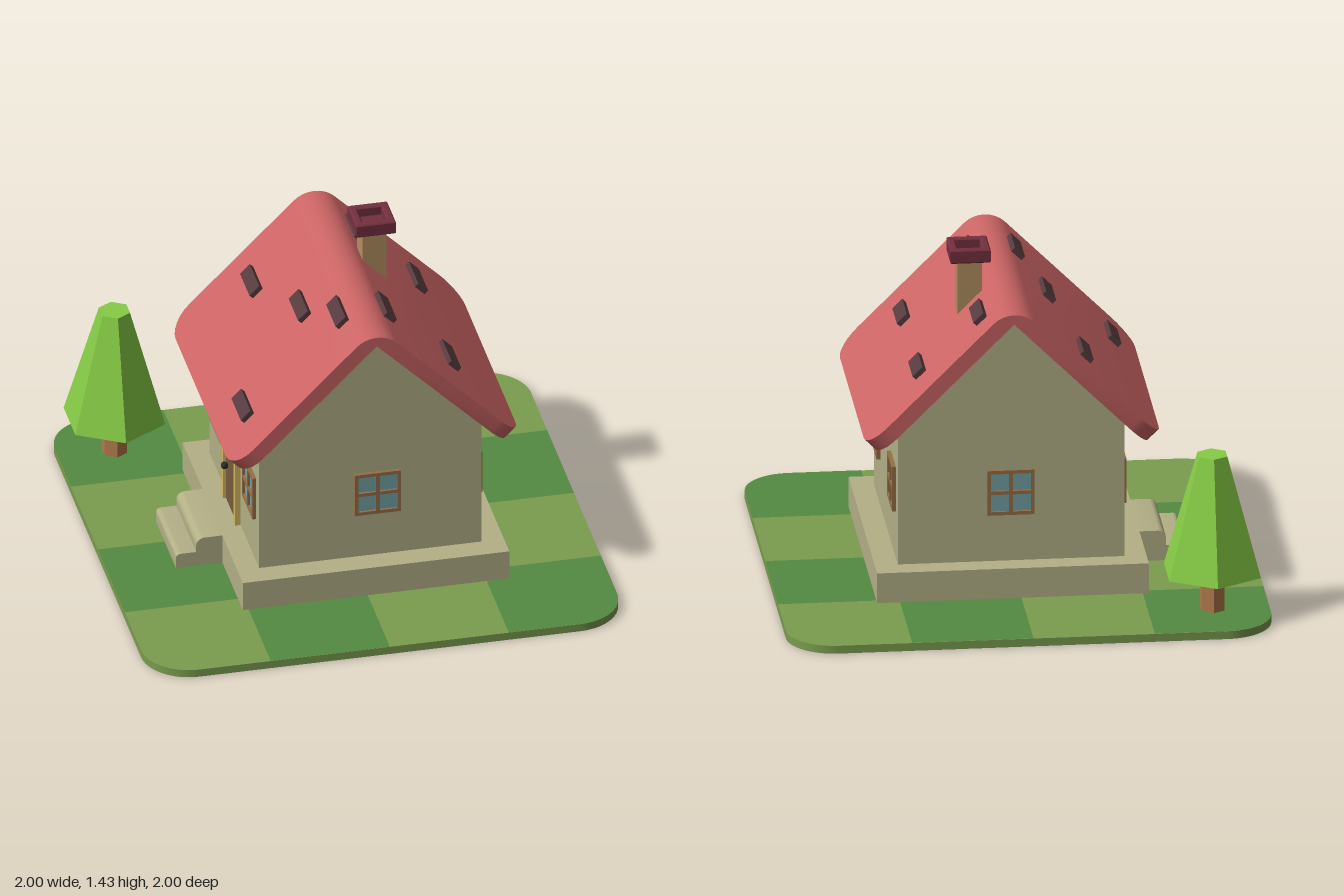
import * as THREE from 'three';
import { toCreasedNormals } from 'three/addons/utils/BufferGeometryUtils.js';

const C = {
  grass: 0x7a9c4e, darkGrass: 0x548a42, wall: 0xb3b087, roof: 0xcb6464, tile: 0x563a3e,
  chimney: 0xb38f62, cap: 0x74303f, frame: 0x967047, glass: 0x74a3a6, doorFrame: 0xd6ba62,
  door: 0x765c3c, knob: 0x2b2b2b, leaf: 0x86cc45, trunk: 0xb17c4c,
};
const CX = 0.033, CZ = 0.027; // house centre
const GROUND = 0.035, FLOOR = 0.165;

function add(parent, name, geometry, color, x = 0, y = 0, z = 0) {
  const mesh = new THREE.Mesh(geometry, new THREE.MeshStandardMaterial({ color }));
  mesh.name = name;
  mesh.position.set(x, y, z);
  parent.add(mesh);
  return mesh;
}
const box = (w, h, d) => new THREE.BoxGeometry(w, h, d);
const creased = (g) => toCreasedNormals(g, 0.6);
const extrude = (shape, depth) =>
  creased(new THREE.ExtrudeGeometry(shape, { depth, bevelEnabled: false, curveSegments: 8 }));

// Rectangle with a radius per corner: bottom right, top right, top left, bottom left
function rect(x0, y0, x1, y1, radii = [0, 0, 0, 0], Type = THREE.Shape) {
  const s = new Type();
  const corners = [[x1, y0, -1, 1], [x1, y1, -1, -1], [x0, y1, 1, -1], [x0, y0, 1, 1]];
  corners.forEach(([x, y, sx, sy], i) => {
    const r = radii[i], a = (i - 1) * Math.PI / 2;
    if (r) s.absarc(x + sx * r, y + sy * r, r, a, a + Math.PI / 2, false);
    else if (i === 0) s.moveTo(x, y);
    else s.lineTo(x, y);
  });
  s.closePath();
  return s;
}

// Rounded lawn with a checkerboard of darker squares
function buildGround(parent) {
  const r = 0.2;
  add(parent, 'lawn', extrude(rect(-1, -1, 1, 1, [r, r, r, r]), GROUND - 0.001).rotateX(-Math.PI / 2), C.grass);
  for (let i = 0; i < 4; i++) for (let j = 0; j < 4; j++) {
    if ((i + j) % 2) continue;
    const x = -1 + i * 0.5, y = 0.5 - j * 0.5;
    const radii = [i === 3 && j === 3 ? r : 0, 0, i === 0 && j === 0 ? r : 0, 0];
    const g = new THREE.ShapeGeometry(rect(x, y, x + 0.5, y + 0.5, radii), 8).rotateX(-Math.PI / 2);
    add(parent, 'darkLawnSquare', g, C.darkGrass, 0, GROUND, 0);
  }
}

// Foundation, gabled walls and entrance steps
function buildWalls(parent) {
  add(parent, 'foundation', box(1.12, FLOOR - GROUND, 1.12), C.wall, 0.035, (FLOOR + GROUND) / 2, 0.03);
  const hw = 0.467, apex = 1.25;
  const gable = new THREE.Shape([[-hw, FLOOR], [hw, FLOOR], [hw, apex - hw], [0, apex], [-hw, apex - hw]]
    .map(([x, y]) => new THREE.Vector2(x, y)));
  add(parent, 'walls', extrude(gable, 0.925), C.wall, CX, 0, -0.435);

  const s = new THREE.Shape();
  s.moveTo(-0.52, GROUND);
  s.lineTo(-0.52, FLOOR);
  s.absarc(-0.6, FLOOR - 0.035, 0.035, Math.PI / 2, Math.PI, false);
  s.lineTo(-0.635, 0.1);
  s.absarc(-0.7, 0.08, 0.02, Math.PI / 2, Math.PI, false);
  s.lineTo(-0.72, GROUND);
  add(parent, 'steps', extrude(s, 0.37), C.wall, 0, 0, -0.16);
}

// Roof lofted over the ridge, with a rounded ridge and rounded eave corners
const ROOF_TOP = 1.335, K = Math.SQRT1_2;
function roofGeometry() {
  const thick = 0.064, ridge = 0.12, corner = 0.12, half = 0.585, reach = 0.608;
  const side = [];
  for (let i = 0; i <= 4; i++) {
    const a = i / 4 * Math.PI / 4;
    const ix = (ridge - thick) * Math.sin(a);
    side.push([ridge * Math.sin(a), ROOF_TOP - ridge / K + ridge * Math.cos(a), ix, ROOF_TOP - thick / K - ix, half]);
  }
  for (let i = 0; i <= 6; i++) {
    const a = i / 6 * Math.PI / 2;
    const x = reach - corner * (1 - Math.sin(a)) * K, y = ROOF_TOP - x;
    side.push([x, y, x - thick * K, y - thick * K, half - corner * (1 - Math.cos(a))]);
  }
  const left = side.slice(1).reverse().map(([ox, oy, ix, iy, w]) => [-ox, oy, -ix, iy, w]);
  const rings = [...left, ...side].map(([ox, oy, ix, iy, w]) =>
    [[ox, oy, w], [ox, oy, -w], [ix, iy, -w], [ix, iy, w]]);
  const pos = [];
  const quad = (a, b, c, d) => [a, b, c, a, c, d].forEach((p) => pos.push(...p));
  for (let i = 0; i + 1 < rings.length; i++) for (let k = 0; k < 4; k++) {
    const n = (k + 1) % 4;
    quad(rings[i][k], rings[i + 1][k], rings[i + 1][n], rings[i][n]);
  }
  quad(...rings[0]);
  quad(...rings[rings.length - 1].slice().reverse());
  const g = new THREE.BufferGeometry();
  g.setAttribute('position', new THREE.Float32BufferAttribute(pos, 3));
  return creased(g);
}

function buildRoof(parent) {
  add(parent, 'roof', roofGeometry(), C.roof, CX, 0, CZ);
  // Raised loose tiles: x, z
  const tiles = [[-0.277, -0.325], [-0.165, 0.083], [-0.46, 0.325], [-0.062, 0.325],
    [0.155, -0.34], [0.13, 0.325], [0.4, -0.29], [0.4, 0.325]];
  for (const [x, z] of tiles) {
    const dx = x - CX, y = ROOF_TOP - Math.abs(dx);
    const tile = add(parent, 'roofTile', box(0.058, 0.036, 0.175), C.tile, x, y + 0.004, z);
    tile.rotation.z = -Math.sign(dx) * Math.PI / 4;
  }
  // Chimney with hollow cap
  add(parent, 'chimney', box(0.1, 0.3, 0.1), C.chimney, 0.173, 1.24, -0.1);
  const rim = rect(-0.077, -0.077, 0.077, 0.077);
  rim.holes.push(rect(-0.057, -0.057, 0.057, 0.057, undefined, THREE.Path));
  const cap = new THREE.ExtrudeGeometry(rim, {
    depth: 0.048, bevelThickness: 0.006, bevelSize: 0.006, bevelSegments: 1,
  }).rotateX(-Math.PI / 2);
  add(parent, 'chimneyCap', creased(cap), C.cap, 0.173, 1.381, -0.1);
  add(parent, 'chimneyCapFloor', box(0.13, 0.015, 0.13), C.cap, 0.173, 1.385, -0.1);
}

// Four-pane window facing +z, turned onto its wall
function buildWindow(parent, x, z, turn) {
  const group = new THREE.Group();
  group.name = 'window';
  const h = 0.0975, bar = 0.015, m = bar / 2;
  const frame = rect(-h, -h, h, h);
  for (const [a, b] of [[-h + bar, -m], [m, h - bar]])
    for (const [c, d] of [[-h + bar, -m], [m, h - bar]])
      frame.holes.push(rect(a, c, b, d, undefined, THREE.Path));
  add(group, 'windowFrame', extrude(frame, 0.016), C.frame);
  add(group, 'windowGlass', box(0.18, 0.18, 0.008), C.glass, 0, 0, 0.002);
  group.position.set(x, 0.467, z);
  group.rotation.y = turn;
  parent.add(group);
}

// Door with a frame and a round knob, on the -x wall
function buildDoor(parent) {
  const group = new THREE.Group();
  group.name = 'door';
  const w = 0.12, h = 0.365, bar = 0.022;
  const frame = new THREE.Shape([[-w, 0], [-w + bar, 0], [-w + bar, h - bar], [w - bar, h - bar],
    [w - bar, 0], [w, 0], [w, h], [-w, h]].map(([x, y]) => new THREE.Vector2(x, y)));
  add(group, 'doorFrame', extrude(frame, 0.024), C.doorFrame);
  add(group, 'doorPanel', box(2 * (w - bar), h - bar, 0.016), C.door, 0, (h - bar) / 2, 0.004);
  add(group, 'doorKnob', new THREE.SphereGeometry(0.016, 12, 8), C.knob, -0.072, 0.175, 0.024);
  group.position.set(-0.434, FLOOR, CZ);
  group.rotation.y = -Math.PI / 2;
  parent.add(group);
}

// Six-sided tapered tree
function buildTree(parent) {
  const faceted = (top, bottom, h) => toCreasedNormals(new THREE.CylinderGeometry(top, bottom, h, 6), 0.1);
  add(parent, 'treeTrunk', faceted(0.055, 0.055, 0.18), C.trunk, -0.765, 0.125, -0.735);
  add(parent, 'treeCrown', faceted(0.067, 0.218, 0.51), C.leaf, -0.765, 0.457, -0.735);
}

export function createModel() {
  const model = new THREE.Group();
  model.name = 'cottage';
  buildGround(model);
  buildWalls(model);
  buildRoof(model);
  buildWindow(model, 0.062, 0.49, 0);
  buildWindow(model, 0.035, -0.435, Math.PI);
  for (const z of [0.34, -0.265]) {
    buildWindow(model, 0.5, z, Math.PI / 2);
    buildWindow(model, -0.434, z, -Math.PI / 2);
  }
  buildDoor(model);
  buildTree(model);
  return model;
}
